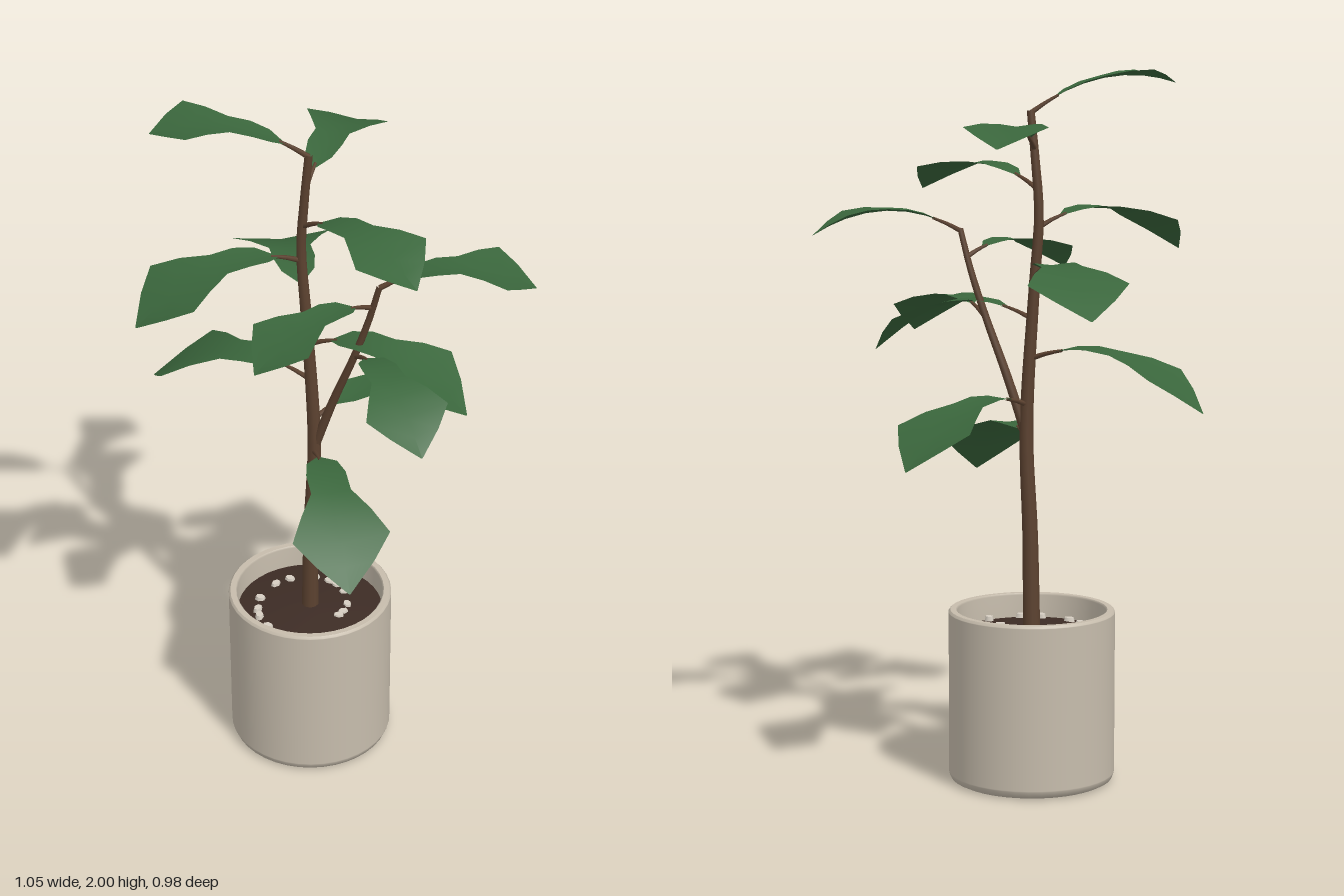
import * as THREE from 'three';

const mat = (name, color, side = THREE.FrontSide) => {
  const m = new THREE.MeshStandardMaterial({ color, side });
  m.name = name;
  return m;
};

// Tapered round stem along a smooth path
function stemGeometry(points, r0, r1, segments = 12, sides = 8) {
  const curve = new THREE.CatmullRomCurve3(points.map(p => new THREE.Vector3(...p)));
  const geo = new THREE.TubeGeometry(curve, segments, 1, sides);
  const pos = geo.attributes.position;
  const v = new THREE.Vector3();
  for (let i = 0; i <= segments; i++) {
    const c = curve.getPointAt(i / segments);
    const r = r0 + (r1 - r0) * i / segments;
    for (let j = 0; j <= sides; j++) {
      const k = i * (sides + 1) + j;
      v.fromBufferAttribute(pos, k).sub(c).multiplyScalar(r).add(c);
      pos.setXYZ(k, v.x, v.y, v.z);
    }
  }
  return geo;
}

// Fiddle-shaped blade outline: [distance along leaf, half width / length]
const OUTLINE = [[0.15, 0.012], [0.24, 0.09], [0.36, 0.115], [0.5, 0.115],
  [0.64, 0.2], [0.78, 0.28], [0.89, 0.165], [1, 0.004]];

// Centre line of a leaf: straight in plan, arched in height
function leafSpine(base, tip, midY) {
  const [x0, y0, z0] = base, [x1, y1, z1] = tip;
  const c = 2 * (y0 + y1 - 2 * midY), b = y1 - y0 - c;
  return t => [x0 + (x1 - x0) * t, y0 + b * t + c * t * t, z0 + (z1 - z0) * t];
}

function bladeGeometry(base, tip, spine) {
  const dx = tip[0] - base[0], dz = tip[2] - base[2];
  const verts = [], index = [];
  OUTLINE.forEach(([t, w], i) => {
    const [x, y, z] = spine(t);
    for (const s of [-1, 0, 1]) {
      // edges lift slightly above the midrib
      verts.push(x - dz * w * s, y + Math.abs(s) * w * 0.06, z + dx * w * s);
    }
    if (i > 0) {
      for (const j of [0, 1]) {
        const a = (i - 1) * 3 + j, b = a + 3;
        index.push(a, a + 1, b, a + 1, b + 1, b);
      }
    }
  });
  const geo = new THREE.BufferGeometry();
  geo.setAttribute('position', new THREE.Float32BufferAttribute(verts, 3));
  geo.setIndex(index);
  geo.computeVertexNormals();
  return geo;
}

export function createModel() {
  const model = new THREE.Group();
  model.name = 'pottedPlant';
  const ceramic = mat('ceramic', 0xc6bcac);
  const soilMat = mat('soil', 0x3d2c25);
  const stone = mat('stone', 0xd6cec2);
  const bark = mat('bark', 0x5c4230);
  const green = mat('leafGreen', 0x3a663c, THREE.DoubleSide);
  const CX = -0.077, CZ = 0.013;

  const add = (parent, name, geo, material) => {
    const mesh = new THREE.Mesh(geo, material);
    mesh.name = name;
    parent.add(mesh);
    return mesh;
  };

  // Pot: corners doubled so that edges stay crisp
  const pot = new THREE.Group();
  pot.name = 'pot';
  pot.position.set(CX, 0, CZ);
  model.add(pot);
  const potProfile = [[0, 0], [0.215, 0], [0.215, 0], [0.229, 0.007], [0.235, 0.022], [0.235, 0.025],
    [0.235, 0.482], [0.235, 0.484], [0.23, 0.49], [0.23, 0.49], [0.214, 0.49], [0.214, 0.49],
    [0.21, 0.485], [0.21, 0.39]];
  add(pot, 'potShell', new THREE.LatheGeometry(potProfile.map(p => new THREE.Vector2(...p)), 40), ceramic);

  // Slightly mounded soil
  const soilProfile = [[0.211, 0.42], [0.14, 0.43], [0.06, 0.438], [0, 0.44]];
  add(pot, 'soil', new THREE.LatheGeometry(soilProfile.map(p => new THREE.Vector2(...p)), 32), soilMat);

  // Pebbles scattered on the soil
  for (let i = 0; i < 16; i++) {
    const a = i * 2.4 + 0.6, r = 0.1 + 0.085 * ((i * 0.618) % 1);
    const pebble = add(pot, 'pebble', new THREE.CylinderGeometry(0.014, 0.018, 0.014, 6), stone);
    pebble.position.set(Math.cos(a) * r, 0.432, Math.sin(a) * r);
    pebble.scale.z = 0.75;
    pebble.rotation.y = i;
  }

  // Trunk and side branch
  add(model, 'trunk', stemGeometry([[CX, 0.42, 0.015], [-0.073, 0.7, 0.018], [-0.062, 1, 0.018],
    [-0.082, 1.4, 0.006], [-0.094, 1.6, 0], [-0.085, 1.74, 0.004], [-0.072, 1.885, 0.012]],
    0.025, 0.011, 28, 10), bark);
  add(model, 'branch', stemGeometry([[-0.063, 0.98, 0.018], [-0.01, 1.15, 0.045], [0.045, 1.31, 0.08],
    [0.085, 1.44, 0.1], [0.112, 1.555, 0.122]], 0.014, 0.008, 16), bark);

  // Leaves: [attachment, tip, height halfway along]
  const leaves = [
    [[-0.065, 0.97, 0.018], [0.03, 0.82, 0.485], 0.985],
    [[-0.065, 1.07, 0.015], [0.30, 0.935, -0.30], 1.085],
    [[-0.072, 1.2, 0.012], [-0.515, 1.07, -0.23], 1.218],
    [[-0.078, 1.31, 0.008], [0.345, 1.21, 0.215], 1.35],
    [[-0.083, 1.43, 0.005], [-0.17, 1.35, -0.49], 1.468],
    [[-0.093, 1.565, 0], [-0.525, 1.49, 0.22], 1.61],
    [[-0.09, 1.67, 0.002], [0.2, 1.66, 0.33], 1.735],
    [[-0.082, 1.78, 0.005], [0.065, 1.79, -0.385], 1.845],
    [[-0.072, 1.878, 0.012], [-0.48, 1.96, 0.04], 1.973],
    [[0.05, 1.315, 0.082], [0.215, 1.24, 0.465], 1.355],
    [[0.092, 1.48, 0.105], [-0.215, 1.43, 0.36], 1.515],
    [[0.112, 1.55, 0.122], [0.525, 1.54, 0.11], 1.607],
  ];
  for (const [base, tip, midY] of leaves) {
    const leaf = new THREE.Group();
    leaf.name = 'leaf';
    const spine = leafSpine(base, tip, midY);
    add(leaf, 'petiole', stemGeometry([spine(0), spine(0.1), spine(0.19)], 0.008, 0.004, 4, 6), bark);
    add(leaf, 'blade', bladeGeometry(base, tip, spine), green);
    model.add(leaf);
  }
  return model;
}
